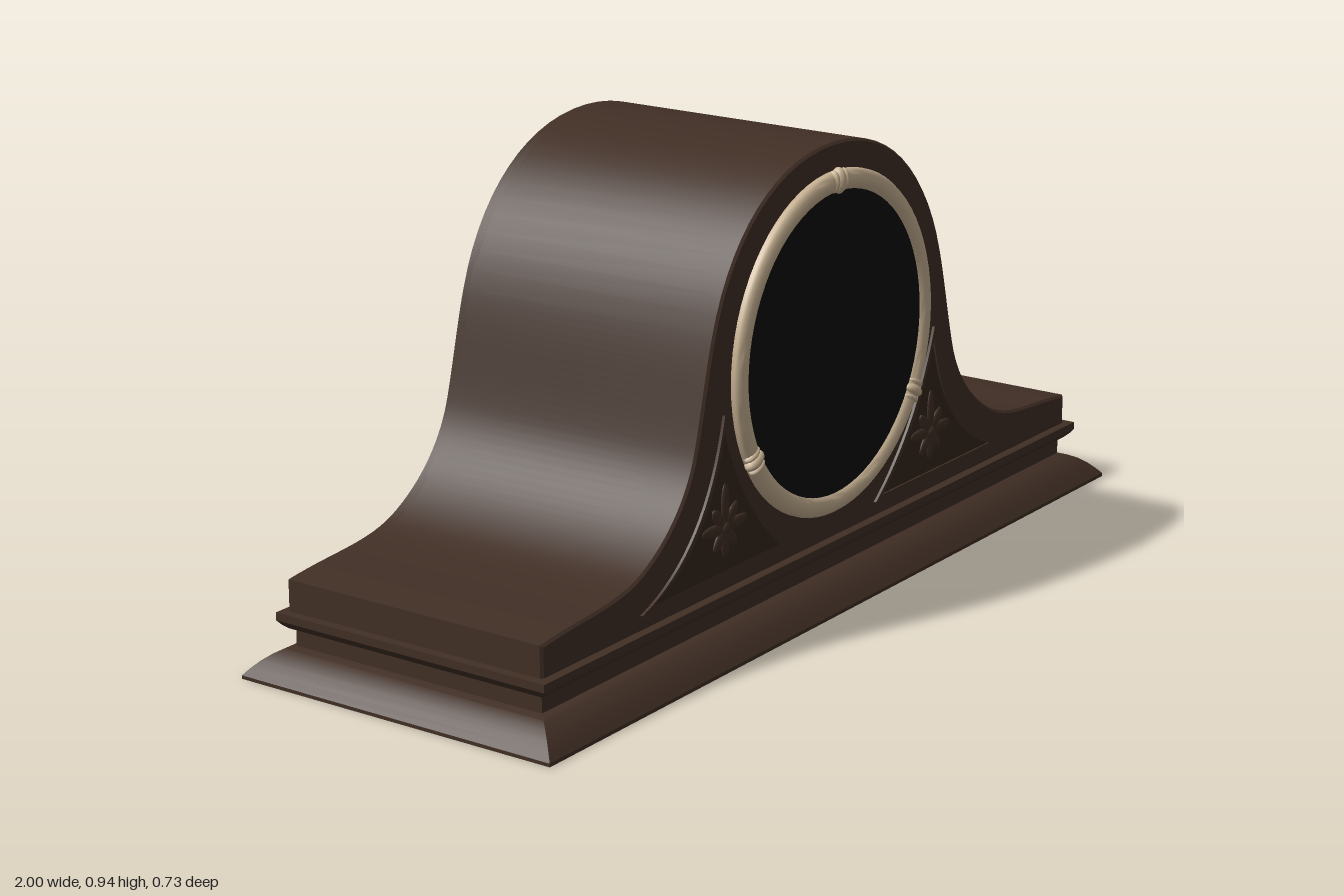
import * as THREE from 'three';
import { toCreasedNormals } from 'three/addons/utils/BufferGeometryUtils.js';

const wood = new THREE.MeshStandardMaterial({ name: 'dark wood', color: 0x412f25 });
const carved = new THREE.MeshStandardMaterial({ name: 'carved recess', color: 0x33251d });
const ivory = new THREE.MeshStandardMaterial({ name: 'ivory bezel', color: 0xc9b394 });
const black = new THREE.MeshStandardMaterial({ name: 'black glass', color: 0x0b0b0b });

const DIAL_Y = 0.533;
const V = (x, y) => new THREE.Vector2(x, y);

function add(parent, name, geometry, material, x = 0, y = 0, z = 0) {
  const mesh = new THREE.Mesh(geometry, material);
  mesh.name = name;
  mesh.position.set(x, y, z);
  parent.add(mesh);
  return mesh;
}

// Extrusion between two z planes, with an optional inward chamfer
function slab(shape, z0, z1, bevel = 0) {
  const g = new THREE.ExtrudeGeometry(shape, {
    depth: z1 - z0 - 2 * bevel, curveSegments: 20, bevelEnabled: bevel > 0,
    bevelSize: bevel, bevelThickness: bevel, bevelOffset: -bevel, bevelSegments: 1,
  });
  g.translate(0, 0, z0 + bevel);
  return toCreasedNormals(g, 0.5);
}

// Tambour outline: flat wings sweeping up into a round arch
function bodyOutline() {
  const half = new THREE.Path();
  half.moveTo(0.935, 0.193);
  half.bezierCurveTo(0.8, 0.212, 0.7, 0.2, 0.62, 0.243);
  half.bezierCurveTo(0.54, 0.285, 0.485, 0.35, 0.462, 0.42);
  half.bezierCurveTo(0.44, 0.49, 0.425, 0.57, 0.402, 0.64);
  half.bezierCurveTo(0.345, 0.82, 0.2, 0.936, 0, 0.936);
  const right = half.getPoints(14);
  const left = right.slice(0, -1).reverse().map(p => V(-p.x, p.y));
  return [V(-0.935, 0.125), V(0.935, 0.125), ...right, ...left];
}

// Move a counter-clockwise outline inward by d
function inset(points, d) {
  const n = points.length;
  return points.map((p, i) => {
    const a = p.clone().sub(points[(i + n - 1) % n]).normalize();
    const b = points[(i + 1) % n].clone().sub(p).normalize();
    const na = V(-a.y, a.x), nb = V(-b.y, b.x);
    return na.clone().add(nb).multiplyScalar(d / (1 + na.dot(nb))).add(p);
  });
}

// Rectangular moulding swept from (half depth, height) pairs
function moulding(profile) {
  const corners = [[1, 1], [1, -1], [-1, -1], [-1, 1]];
  const at = ([d, y], [sx, sz]) => [sx * (0.635 + d), y, sz * d];
  const pos = [];
  for (let j = 0; j < profile.length - 1; j++) {
    for (let i = 0; i < 4; i++) {
      const c0 = corners[i], c1 = corners[(i + 1) % 4];
      const a = at(profile[j], c0), b = at(profile[j], c1);
      const c = at(profile[j + 1], c1), d = at(profile[j + 1], c0);
      pos.push(...a, ...b, ...c, ...a, ...c, ...d);
    }
  }
  const g = new THREE.BufferGeometry();
  g.setAttribute('position', new THREE.Float32BufferAttribute(pos, 3));
  g.computeVertexNormals();
  return toCreasedNormals(g, 0.5);
}

// Round turned part facing +z
function turned(points) {
  return toCreasedNormals(new THREE.LatheGeometry(points, 72).rotateX(Math.PI / 2), 0.7);
}

// Three-sided carved corner panel with a raised frame and a leaf rosette
function spandrel(side) {
  const group = new THREE.Group();
  group.name = side > 0 ? 'leftSpandrel' : 'rightSpandrel';
  const cx = 0.37, cy = 0.245;
  const outline = new THREE.Path();
  outline.moveTo(0.16, 0.16);
  outline.lineTo(0.64, 0.16);
  outline.quadraticCurveTo(0.43, 0.23, 0.375, 0.48);
  outline.quadraticCurveTo(0.31, 0.28, 0.16, 0.16);
  const scaled = k => outline.getPoints(16).slice(0, -1)
    .map(p => V(side * (cx + (p.x - cx) * k), cy + (p.y - cy) * k));
  const frame = new THREE.Shape(scaled(1));
  frame.holes.push(new THREE.Path(scaled(0.88)));
  add(group, 'spandrelFrame', slab(frame, 0.296, 0.306), wood);
  add(group, 'spandrelPanel', slab(new THREE.Shape(scaled(0.9)), 0.296, 0.302), carved);

  // Leaves: angle from upright, length
  const leaves = [[0, 0.09], [0.75, 0.06], [-0.75, 0.06], [1.5, 0.075], [-1.5, 0.075],
    [2.4, 0.055], [-2.4, 0.055], [Math.PI, 0.06]];
  for (const [angle, length] of leaves) {
    const leaf = new THREE.SphereGeometry(1, 12, 8).scale(0.013, length / 2, 0.006);
    leaf.translate(0, length / 2, 0).rotateZ(angle);
    add(group, 'leaf', leaf, wood, side * cx, 0.255, 0.302);
  }
  add(group, 'rosetteCentre', new THREE.SphereGeometry(1, 12, 8).scale(0.014, 0.014, 0.009),
    wood, side * cx, 0.255, 0.302);
  return group;
}

export function createModel() {
  const model = new THREE.Group();
  model.name = 'mantelClock';

  // Plinth: flared foot, neck and projecting bead
  add(model, 'plinth', moulding([
    [0, 0], [0.366, 0], [0.366, 0.007], [0.355, 0.02], [0.341, 0.034], [0.324, 0.047],
    [0.308, 0.055], [0.292, 0.06], [0.292, 0.094], [0.302, 0.096], [0.311, 0.104],
    [0.318, 0.113], [0.318, 0.129], [0.3, 0.13], [0, 0.13],
  ]), wood);

  // Case with a shallow recess behind a rim at the back
  const outline = bodyOutline();
  add(model, 'case', slab(new THREE.Shape(outline), -0.292, 0.3, 0.005), wood);
  const rim = new THREE.Shape(outline);
  rim.holes.push(new THREE.Path(inset(outline, 0.026)));
  add(model, 'backRim', slab(rim, -0.3, -0.28), wood);

  // Arched back door and its knob
  const arch = new THREE.Shape();
  arch.moveTo(-0.335, 0.195);
  arch.lineTo(0.335, 0.195);
  arch.lineTo(0.335, 0.53);
  arch.absarc(0, 0.53, 0.335, 0, Math.PI);
  add(model, 'backDoor', slab(arch, -0.309, -0.285, 0.002), wood);
  add(model, 'doorKnob', new THREE.CylinderGeometry(0.018, 0.018, 0.01, 20).rotateX(Math.PI / 2),
    wood, 0.16, 0.545, -0.308);

  // Dial: rounded bezel and domed glass
  add(model, 'bezel', turned([
    V(0.348, -0.005), V(0.348, 0.008), V(0.344, 0.014), V(0.337, 0.019), V(0.327, 0.021),
    V(0.317, 0.019), V(0.31, 0.014), V(0.305, 0.006),
  ]), ivory, 0, DIAL_Y, 0.3);
  const dome = [];
  for (let i = 0; i <= 12; i++) {
    const r = 0.309 * (1 - i / 12);
    dome.push(V(r, 0.031 * (1 - (r / 0.309) ** 2)));
  }
  add(model, 'glass', turned(dome), black, 0, DIAL_Y, 0.31);

  // Three knots binding the bezel
  for (const angle of [Math.PI / 2, Math.PI * 7 / 6, Math.PI * 11 / 6]) {
    const knot = new THREE.Group();
    knot.name = 'bezelKnot';
    knot.position.set(0.329 * Math.cos(angle), DIAL_Y + 0.329 * Math.sin(angle), 0.311);
    knot.rotation.z = angle;
    add(knot, 'knotBand', new THREE.SphereGeometry(1, 16, 10).scale(0.027, 0.013, 0.017), ivory);
    for (const s of [-1, 1]) {
      add(knot, 'knotBead', new THREE.SphereGeometry(1, 12, 8).scale(0.023, 0.008, 0.014),
        ivory, 0, s * 0.017, 0);
    }
    model.add(knot);
  }

  model.add(spandrel(1), spandrel(-1));
  return model;
}
